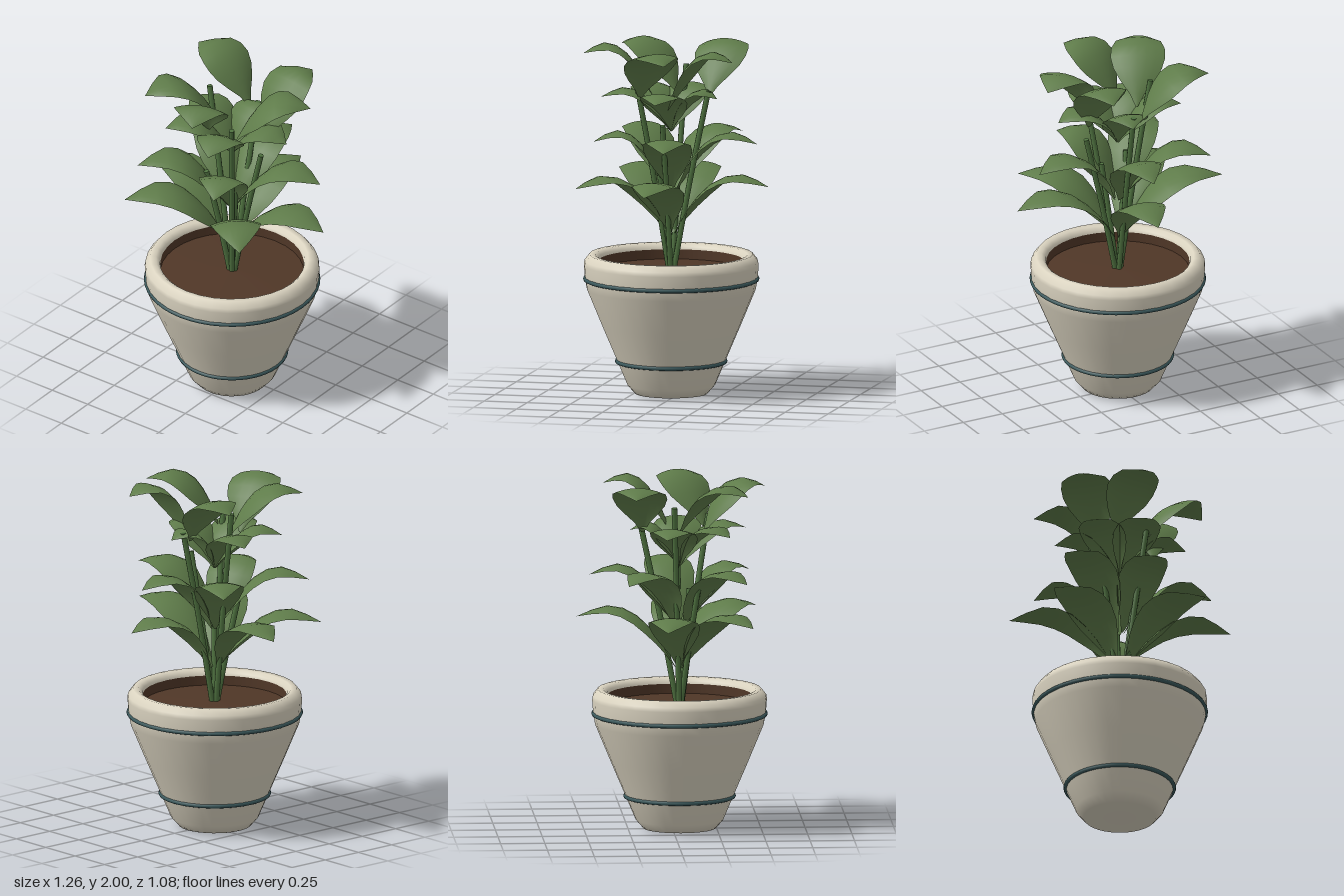
import * as THREE from 'three';

const mat = (name, color, side = THREE.FrontSide) => {
  const m = new THREE.MeshStandardMaterial({ color, side });
  m.name = name;
  return m;
};

const CX = -0.013, CZ = 0.04; // pot axis

// Pointed, arched leaf rising from base (x,y,z) and drooping to tip (x,y,z)
function leafGeometry(base, tip, peak, width) {
  const a = new THREE.Vector3(...base), b = new THREE.Vector3(...tip);
  const at = (t, y) => { const p = a.clone().lerp(b, t); p.y = y; return p; };
  const rise = peak - a.y;
  const path = new THREE.CatmullRomCurve3([
    a, at(0.2, a.y + rise * 0.52), at(0.45, a.y + rise * 0.9), at(0.7, peak), b,
  ]);
  const side = new THREE.Vector3(b.z - a.z, 0, a.x - b.x).normalize();
  const profile = [0.04, 0.28, 0.62, 0.88, 1, 0.97, 0.82, 0.47, 0]; // width along the leaf
  const cols = 6, rows = profile.length - 1, pos = [], index = [];
  profile.forEach((w, i) => {
    const t = i / rows, p = path.getPointAt(t);
    const up = path.getTangentAt(t).cross(side).normalize();
    if (up.y < 0) up.negate();
    for (let j = 0; j <= cols; j++) {
      const s = (j / cols) * 2 - 1;
      const v = p.clone().addScaledVector(side, s * w * width / 2).addScaledVector(up, -0.1 * width * w * s * s);
      pos.push(v.x, v.y, v.z);
      if (i < rows && j < cols) {
        const k = i * (cols + 1) + j, n = k + cols + 1;
        index.push(k, k + 1, n, k + 1, n + 1, n);
      }
    }
  });
  const g = new THREE.BufferGeometry();
  g.setAttribute('position', new THREE.Float32BufferAttribute(pos, 3));
  g.setIndex(index);
  g.computeVertexNormals();
  return g;
}

export function createModel() {
  const model = new THREE.Group();
  model.name = 'pottedPlant';
  const clay = mat('cream clay', 0xdad3c0);
  const teal = mat('dark teal', 0x3a585b);
  const earth = mat('brown soil', 0x503727);
  const stemGreen = mat('stem green', 0x4f7240);
  const leafGreen = mat('leaf green', 0x5f7c4a, THREE.DoubleSide);

  const add = (name, geometry, material, parent = model) => {
    const mesh = new THREE.Mesh(geometry, material);
    mesh.name = name;
    parent.add(mesh);
    return mesh;
  };
  const lathe = (pts) => new THREE.LatheGeometry(pts.map(([r, y]) => new THREE.Vector2(r, y)), 32);

  // Pot with chamfered foot and thick rim
  add('pot', lathe([
    [0, 0], [0.205, 0.006], [0.248, 0.055], [0.305, 0.19], [0.39, 0.39], [0.477, 0.6],
    [0.488, 0.66], [0.494, 0.74], [0.49, 0.765], [0.462, 0.8],
    [0.43, 0.797], [0.41, 0.78], [0.405, 0.76],
  ]), clay).position.set(CX, 0, CZ);

  // Soil bed and the earthy inner wall above it
  add('soil', lathe([[0.405, 0.71], [0.25, 0.72], [0, 0.73]]), earth).position.set(CX, 0, CZ);
  add('innerWall', lathe([[0.405, 0.765], [0.405, 0.7]]), earth).position.set(CX, 0, CZ);

  // Decorative bands
  for (const [r, y] of [[0.486, 0.66], [0.306, 0.19]]) {
    const band = add('band', new THREE.TorusGeometry(r, 0.012, 8, 48), teal);
    band.rotation.x = Math.PI / 2;
    band.position.set(CX, y, CZ);
  }

  // Stems fan out from the middle of the soil
  const stems = new THREE.Group();
  stems.name = 'stems';
  model.add(stems);
  const tips = [
    [-0.2, 1.86, 0], [0.11, 1.78, 0.21], [0.005, 1.74, -0.18],
    [0.19, 1.56, 0.04], [-0.12, 1.39, 0.14], [0.06, 1.36, 0.1],
  ];
  for (const [x, y, z] of tips) {
    const from = new THREE.Vector3(CX + (x - CX) * 0.06, 0.7, CZ + (z - CZ) * 0.06);
    const mid = new THREE.Vector3(CX + (x - CX) * 0.5, 0.7 + (y - 0.7) * 0.5, CZ + (z - CZ) * 0.5);
    const to = new THREE.Vector3(x, y, z);
    add('stem', new THREE.TubeGeometry(new THREE.CatmullRomCurve3([from, mid, to]), 8, 0.016, 8), stemGreen, stems);
    const cap = add('stemCap', new THREE.CircleGeometry(0.016, 8), stemGreen, stems);
    cap.position.copy(to);
    cap.lookAt(to.clone().multiplyScalar(2).sub(mid));
  }

  const leaves = new THREE.Group();
  leaves.name = 'leaves';
  model.add(leaves);

  // Three lower tiers of leaves growing from the middle: tips as x,z
  const tiers = [
    { r: 0.02, y: 0.92, peak: 1.27, tipY: 1.21, w: 0.29,
      tips: [[-0.63, -0.06], [0.63, 0.04], [0.04, -0.54], [0.38, 0.5], [-0.48, 0.43]] },
    { r: 0.02, y: 1.15, peak: 1.51, tipY: 1.45, w: 0.28,
      tips: [[0.03, -0.47], [-0.44, -0.27], [-0.41, 0.4], [0.54, -0.05], [0.16, 0.45]] },
    { r: 0, y: 1.5, peak: 1.75, tipY: 1.7, w: 0.27,
      tips: [[0.37, 0.04], [0.1, 0.42], [-0.28, 0.31], [-0.37, -0.05], [0.04, -0.24]] },
  ];
  for (const { r, y, peak, tipY, w, tips: ends } of tiers) {
    for (const [x, z] of ends) {
      const a = Math.atan2(z - CZ, x - CX);
      const base = [CX + r * Math.cos(a), y, CZ + r * Math.sin(a)];
      add('leaf', leafGeometry(base, [x, tipY, z], peak, w), leafGreen, leaves);
    }
  }

  // Crown leaves growing sideways off the upper stems: base, then tip x,z
  const crown = [
    [[-0.04, 1.7, -0.17], [-0.45, -0.23]],
    [[0.12, 1.7, 0.19], [0.48, -0.04]],
    [[-0.13, 1.7, 0.03], [-0.35, 0.41]],
    [[-0.08, 1.7, 0.17], [0.07, 0.53]],
    [[0.19, 1.65, 0.01], [0.24, -0.38]],
  ];
  for (const [base, [x, z]] of crown) {
    add('crownLeaf', leafGeometry(base, [x, 1.94, z], 1.995, 0.31), leafGreen, leaves);
  }
  return model;
}
